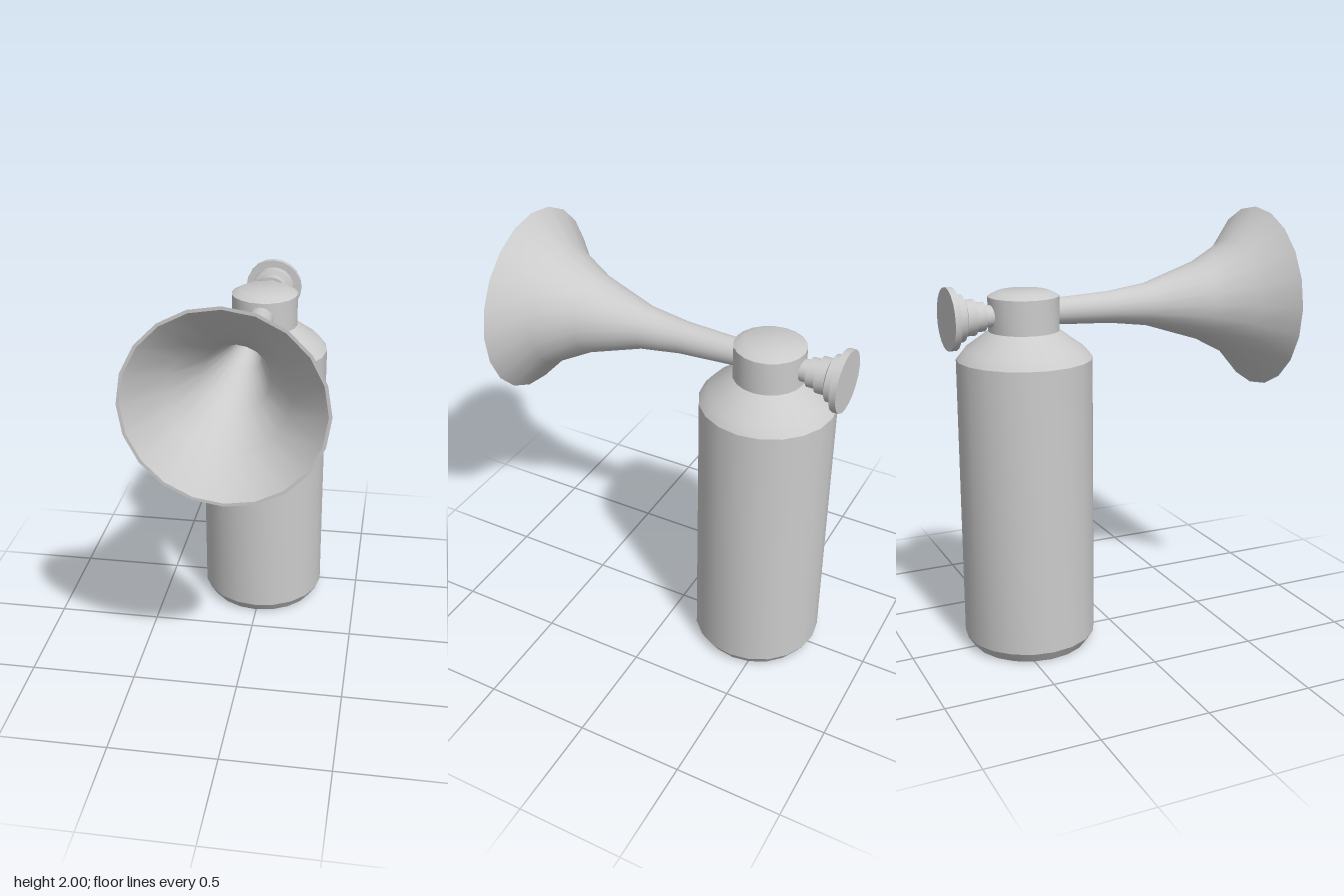
import * as THREE from 'three';
import { toCreasedNormals } from 'three/addons/utils/BufferGeometryUtils.js';

const SIDES = 20;
const CAN_Z = -0.42; // axis of the canister
const HORN_Y = 1.57; // axis of the horn and button

// Turned part from [radius, height] pairs, listed so that the outside faces out
function turned(name, profile, material) {
  const points = profile.map(([r, h]) => new THREE.Vector2(r, h));
  const geometry = toCreasedNormals(new THREE.LatheGeometry(points, SIDES), 0.5);
  const mesh = new THREE.Mesh(geometry, material);
  mesh.name = name;
  return mesh;
}

export function createModel() {
  const group = new THREE.Group();
  group.name = 'airHorn';
  const grey = new THREE.MeshStandardMaterial({ color: 0xcccccc });

  // Gas canister with bevelled foot and sloping shoulder
  const canister = turned('canister', [
    [0, 0], [0.275, 0], [0.308, 0.05], [0.308, 1.37],
    [0.272, 1.415], [0.16, 1.495], [0, 1.495],
  ], grey);
  canister.position.z = CAN_Z;

  // Valve cap on top of the canister
  const cap = turned('valveCap', [
    [0, 1.48], [0.16, 1.48], [0.16, 1.65], [0.117, 1.672], [0, 1.672],
  ], grey);
  cap.position.z = CAN_Z;

  // Flared horn: outer wall to the rim, then the inner wall back to the throat
  const horn = turned('horn', [
    [0, -0.32], [0.058, -0.32], [0.061, -0.26], [0.074, 0], [0.1, 0.19],
    [0.187, 0.46], [0.28, 0.635], [0.43, 0.775],
    [0.416, 0.775], [0.257, 0.63], [0.147, 0.44], [0.075, 0.17],
    [0.045, 0], [0, 0],
  ], grey);
  horn.rotation.x = Math.PI / 2;
  horn.position.y = HORN_Y;

  // Stepped push button at the back, ending in a wide flange
  const button = turned('pushButton', [
    [0, 0.5], [0.05, 0.5], [0.05, 0.61], [0.066, 0.61], [0.066, 0.655],
    [0.081, 0.655], [0.081, 0.7], [0.105, 0.71], [0.105, 0.748],
    [0.14, 0.748], [0.14, 0.778], [0, 0.778],
  ], grey);
  button.rotation.x = -Math.PI / 2;
  button.position.y = HORN_Y;

  group.add(canister, cap, horn, button);
  return group;
}
